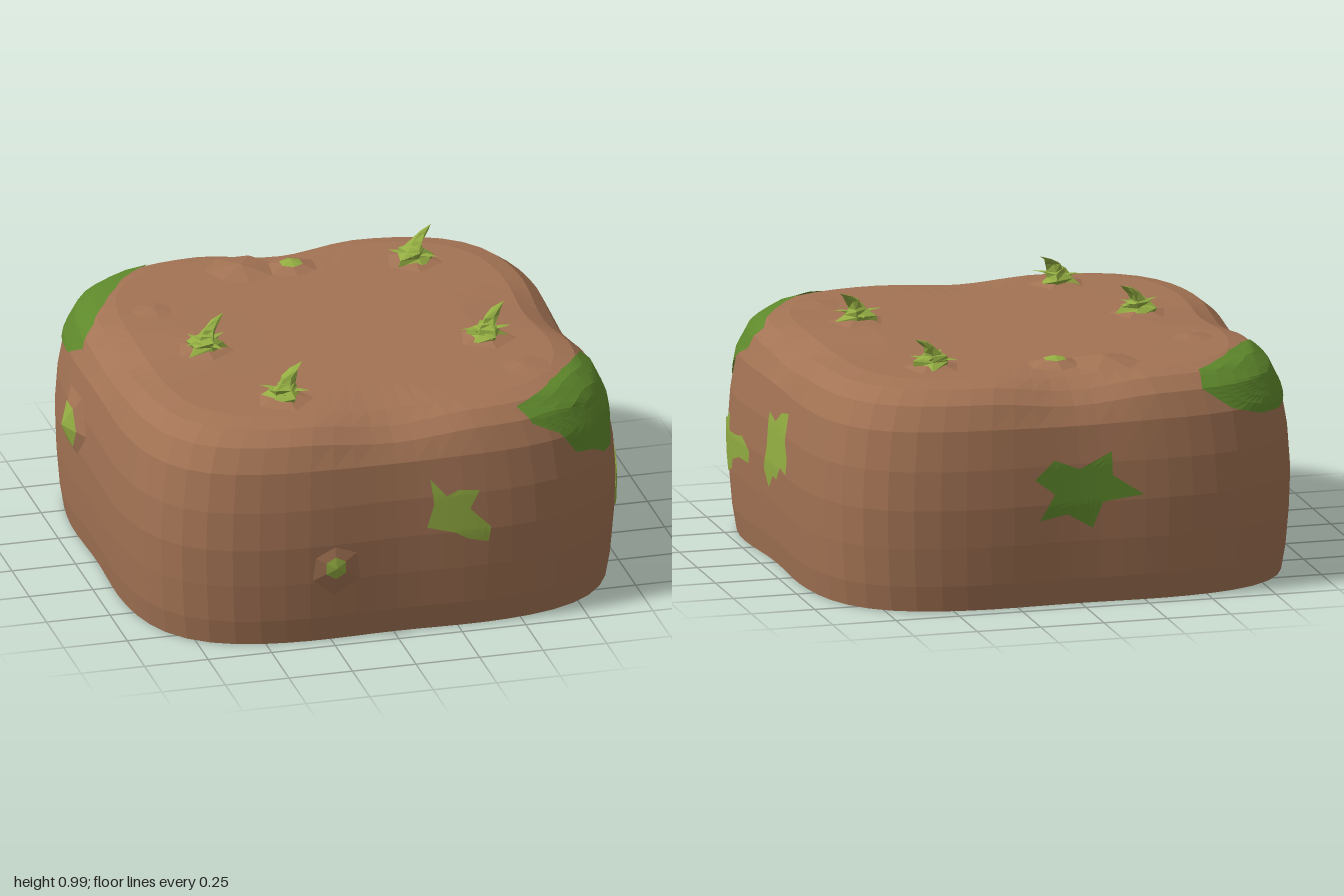
import * as THREE from 'three';
import { mergeGeometries } from 'three/addons/utils/BufferGeometryUtils.js';

const mat = (name, color) => {
  const m = new THREE.MeshStandardMaterial({ color, flatShading: true, side: THREE.DoubleSide });
  m.name = name;
  return m;
};

// Block profile from the bottom rim to the middle of the top: [length along it, radius, height]
const PROFILE = [
  [0, 0.967, 0], [0.1, 0.983, 0.1], [0.25, 0.995, 0.25], [0.4, 1, 0.4], [0.55, 0.99, 0.55],
  [0.7, 0.965, 0.7], [0.8, 0.922, 0.79], [0.88, 0.86, 0.84], [0.96, 0.78, 0.858],
  [1.2, 0.54, 0.862], [1.45, 0.28, 0.86], [1.74, 0, 0.86],
];

// Point of the block's skin at an angle (0 = front, growing to the left side) and profile length
function skin(phi, s, off = 0) {
  let k = 0;
  while (k < PROFILE.length - 2 && s > PROFILE[k + 1][0]) k++;
  const [s0, r0, y0] = PROFILE[k], [s1, r1, y1] = PROFILE[k + 1];
  const t = (s - s0) / (s1 - s0);
  const slope = Math.atan2(r0 - r1, y1 - y0);
  const sx = Math.sin(phi), cz = Math.cos(phi);
  // rounded square, slightly pinched in the middle of each side
  const pinch = Math.max(0, Math.cos(4 * phi)) ** 2;
  const bulge = 0.02 * Math.exp(-(((phi - 1.12) / 0.25) ** 2));
  const square = 0.97 / (sx ** 4 + cz ** 4) ** 0.25;
  const r = square * (1 + bulge - 0.012 * pinch) * (r0 + (r1 - r0) * t) + off * Math.cos(slope);
  const dip = 0.035 * pinch * Math.exp(-(((s - 0.85) / 0.12) ** 2));
  return new THREE.Vector3(sx * r + 0.012, y0 + (y1 - y0) * t - dip + off * Math.sin(slope), cz * r);
}

// Indexed surface from a grid of points, given as rows of equal length
function gridGeometry(rows) {
  const n = rows[0].length, index = [];
  for (let j = 0; j < rows.length - 1; j++)
    for (let i = 0; i < n - 1; i++) {
      const a = j * n + i, b = a + 1, c = b + n, d = a + n;
      index.push(a, b, c, a, c, d);
    }
  const g = new THREE.BufferGeometry().setFromPoints(rows.flat());
  g.setIndex(index);
  g.computeVertexNormals();
  return g;
}

// Thin stain following the skin, outside and inside, from an outline of [angle, length]
function patchGeometry(outline) {
  const edge = [];
  outline.forEach((p, i) => {
    const q = outline[(i + 1) % outline.length];
    for (let k = 0; k < 4; k++) edge.push([p[0] + (q[0] - p[0]) * k / 4, p[1] + (q[1] - p[1]) * k / 4]);
  });
  edge.push(edge[0]);
  const mid = [0, 1].map((a) => outline.reduce((sum, p) => sum + p[a], 0) / outline.length);
  const layers = [0.006, -0.006].map((off) => {
    const rows = [];
    for (let k = 0; k <= 5; k++)
      rows.push(edge.map((p) => skin(mid[0] + (p[0] - mid[0]) * k / 5, mid[1] + (p[1] - mid[1]) * k / 5, off)));
    return gridGeometry(rows);
  });
  return mergeGeometries(layers);
}

// Outline drawn flat on one side, turned into angles around the block
const onSide = (base, pts) => pts.map(([u, y]) => [base + Math.atan(u / 0.97), y]);
const degrees = (pts) => pts.map(([a, s]) => [a * Math.PI / 180, s]);

// Tapering bent shoot, from base radius to a point
function shootGeometry(from, to, radius, seed) {
  const rows = [], bend = new THREE.Vector3((to.x - from.x) * -0.25, 0.012, (to.z - from.z) * -0.25);
  for (let j = 0; j <= 4; j++) {
    const t = j / 4;
    const c = from.clone().lerp(to, t).addScaledVector(bend, Math.sin(Math.PI * t));
    const row = [];
    for (let i = 0; i <= 5; i++) {
      const a = -(i % 5) / 5 * Math.PI * 2;
      const r = radius * (1 - t) ** 0.7 * (1 + 0.3 * Math.sin(seed + (i % 5) * 2.3 + j * 1.7));
      row.push(new THREE.Vector3(c.x + Math.cos(a) * r, c.y, c.z + Math.sin(a) * r));
    }
    rows.push(row);
  }
  return gridGeometry(rows);
}

export function createModel() {
  const model = new THREE.Group();
  model.name = 'earthBlock';
  const soil = mat('soilBrown', 0xa37354);
  const moss = mat('mossGreen', 0x5f892c);
  const grass = mat('grassGreen', 0x93ad42);
  const add = (parent, name, geometry, material) => {
    const mesh = new THREE.Mesh(geometry, material);
    mesh.name = name;
    parent.add(mesh);
    return mesh;
  };

  // Hollow block of earth, open underneath
  const rows = PROFILE.map(([s]) => Array.from({ length: 73 }, (_, i) => skin(i / 72 * Math.PI * 2 - Math.PI / 2, s)));
  add(model, 'soilBody', gridGeometry(rows), soil);

  // Dark moss over two corners and on the back
  add(model, 'frontCornerMoss', patchGeometry(degrees([
    [31, 0.86], [32, 0.78], [37, 0.72], [40, 0.63], [45, 0.61], [49, 0.57], [53, 0.57], [56, 0.63], [60, 0.66],
    [64, 0.71], [68, 0.75], [67, 0.85], [60, 0.89], [52, 0.92], [45, 0.92], [38, 0.89],
  ])), moss);
  add(model, 'backCornerMoss', patchGeometry(degrees([
    [-107, 0.77], [-113, 0.7], [-122, 0.68], [-130, 0.66], [-138, 0.67], [-145, 0.71], [-150, 0.8],
    [-147, 0.89], [-139, 0.93], [-130, 0.95], [-121, 0.92], [-112, 0.86],
  ])), moss);
  add(model, 'backMoss', patchGeometry(onSide(Math.PI, [
    [-0.18, 0.5], [-0.1, 0.57], [0, 0.53], [0.13, 0.59], [0.13, 0.5], [0.25, 0.42], [0.09, 0.4],
    [0.05, 0.3], [-0.05, 0.36], [-0.16, 0.34], [-0.1, 0.44],
  ])), moss);

  // Light grass stains on the front and left sides
  add(model, 'frontGrassStain', patchGeometry(onSide(0, [
    [0.13, 0.62], [0.19, 0.55], [0.24, 0.57], [0.32, 0.56], [0.28, 0.49], [0.36, 0.41], [0.35, 0.35],
    [0.27, 0.37], [0.22, 0.4], [0.11, 0.43], [0.14, 0.52],
  ])), grass);
  add(model, 'leftLowGrassStain', patchGeometry(onSide(Math.PI / 2, [
    [-0.72, 0.36], [-0.66, 0.42], [-0.56, 0.43], [-0.46, 0.48], [-0.45, 0.41], [-0.33, 0.42], [-0.28, 0.43],
    [-0.2, 0.39], [-0.21, 0.34], [-0.31, 0.34], [-0.4, 0.31], [-0.42, 0.27], [-0.51, 0.24], [-0.55, 0.29], [-0.69, 0.3],
  ])), grass);
  add(model, 'leftHighGrassStain', patchGeometry(onSide(Math.PI / 2, [
    [-0.01, 0.59], [0.08, 0.57], [0.15, 0.62], [0.25, 0.64], [0.25, 0.53], [0.29, 0.47], [0.28, 0.41],
    [0.2, 0.42], [0.14, 0.36], [0.08, 0.36], [0.02, 0.3], [-0.04, 0.36], [-0.01, 0.45],
  ])), grass);

  // Low soil mounds with grass tips: position, outward direction, radius, height, tip share
  const mounds = [
    ['front', [-0.24, 0.31, 0.952], [0, 0, 1], 0.14, 0.032, 0.32],
    ['right', [-0.94, 0.49, -0.21], [-1, 0, 0], 0.15, 0.055, 0.6],
    ['top', [0.01, 0.858, -0.6], [0, 1, 0], 0.11, 0.03, 0.42],
  ];
  for (const [side, pos, dir, radius, height, tip] of mounds) {
    const mound = new THREE.Group();
    mound.name = side + 'Mound';
    mound.position.set(...pos);
    mound.quaternion.setFromUnitVectors(new THREE.Vector3(0, 1, 0), new THREE.Vector3(...dir));
    add(mound, 'moundSoil', new THREE.ConeGeometry(radius, height, 6, 1, true).translate(0, height / 2, 0), soil);
    add(mound, 'moundGrass', new THREE.ConeGeometry(radius * tip, height * tip, 6, 1, true)
      .translate(0, height * (1 - tip / 2) + 0.004, 0), grass);
    model.add(mound);
  }

  // Slight lumps in the top soil
  for (const [x, z, r, h] of [[-0.18, -0.62, 0.15, 0.03], [-0.6, -0.34, 0.1, 0.015], [0.62, 0.52, 0.12, 0.012]])
    add(model, 'soilLump', new THREE.ConeGeometry(r, h, 7, 1, true).translate(x, 0.857 + h / 2, z), soil);

  // Sprouts: crumpled clump, one tall leaning shoot and small side shoots
  [[0.47, -0.53], [-0.51, 0.07], [0.55, 0.24], [-0.34, 0.59]].forEach(([x, z], n) => {
    const sprout = new THREE.Group();
    sprout.name = 'sprout';
    sprout.position.set(x, 0.86, z);
    const v = (a, b, c) => new THREE.Vector3(a, b, c);
    add(sprout, 'sproutSoil', new THREE.ConeGeometry(0.12, 0.03, 5, 1, true).rotateY(n * 1.3).translate(0, 0.014, 0), soil);
    const shoots = [
      shootGeometry(v(0, 0, 0), v(0.01, 0.075, 0), 0.075, n),
      shootGeometry(v(0, 0.02, 0), v(0.085, 0.125, -0.05), 0.042, n + 2),
    ];
    for (let k = 0; k < 4; k++) {
      const a = n * 0.5 + k * Math.PI / 2 + 0.6;
      shoots.push(shootGeometry(v(0, 0.005, 0), v(Math.cos(a) * 0.1, 0.035 + 0.012 * (k % 2), Math.sin(a) * 0.1), 0.035, n + k));
    }
    add(sprout, 'sproutLeaves', mergeGeometries(shoots), grass);
    model.add(sprout);
  });

  return model;
}
